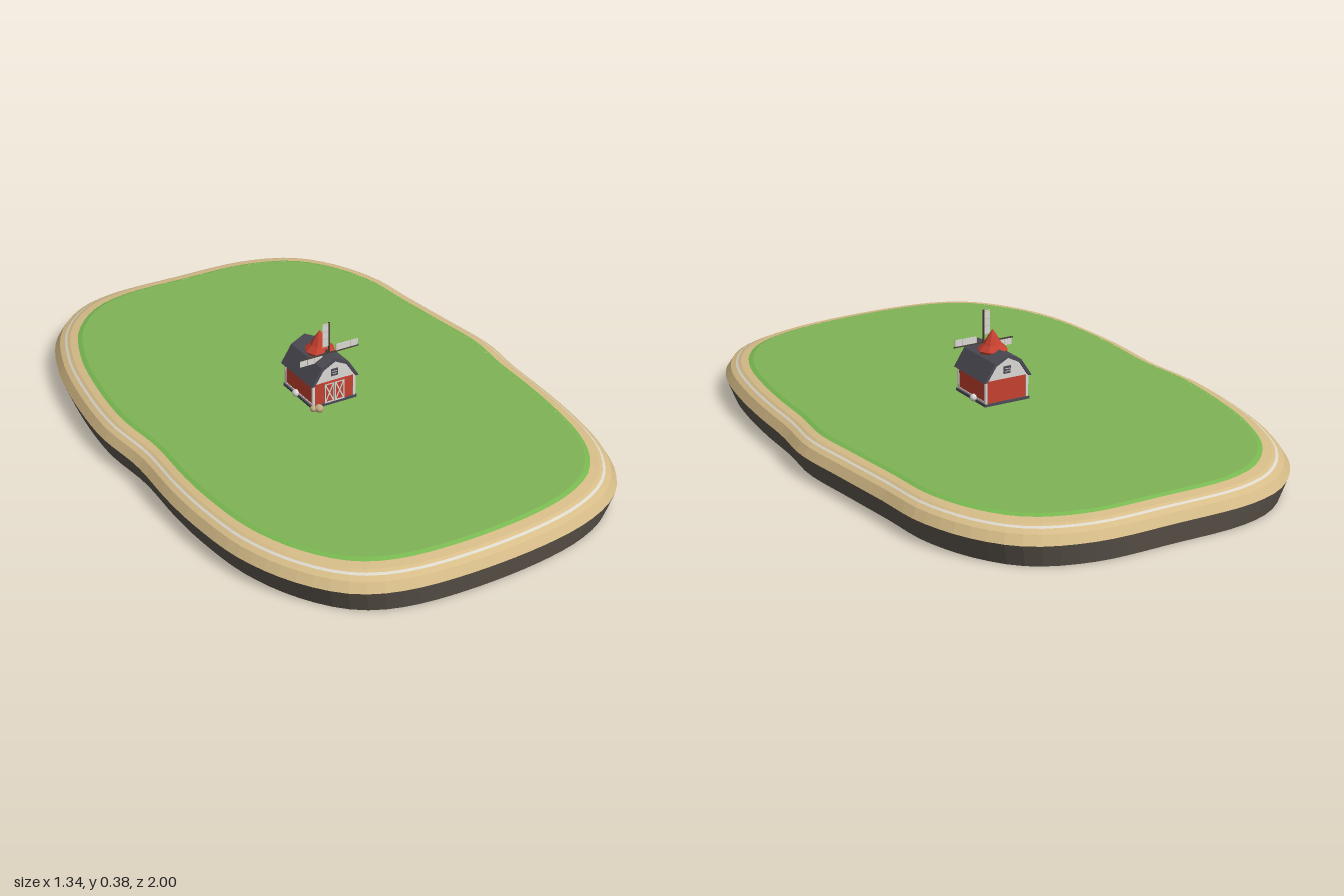
import * as THREE from 'three';

const mat = (name, color, side = THREE.FrontSide) => {
  const m = new THREE.MeshStandardMaterial({ color, side });
  m.name = name;
  return m;
};

// Coastline seen from above, as x, z pairs
const COAST = [
  [0, -1], [0.26, -0.99], [0.43, -0.925], [0.53, -0.81], [0.6, -0.635], [0.62, -0.45],
  [0.645, -0.24], [0.667, -0.03], [0.65, 0.13], [0.642, 0.32], [0.625, 0.5], [0.595, 0.66],
  [0.545, 0.78], [0.46, 0.88], [0.3, 0.955], [0, 0.995], [-0.31, 0.975], [-0.445, 0.915],
  [-0.55, 0.79], [-0.625, 0.61], [-0.655, 0.4], [-0.66, 0.24], [-0.652, 0.03], [-0.67, -0.185],
  [-0.645, -0.45], [-0.605, -0.635], [-0.525, -0.82], [-0.4, -0.945], [-0.26, -0.995],
];

export function createModel() {
  const root = new THREE.Group();
  root.name = 'islandWithBarn';
  const rock = mat('rock', 0x5f574e);
  const sand = mat('sand', 0xd6bc88);
  const grass = mat('grass', 0x7fb356);
  const grassRim = mat('grassRim', 0x78b850);
  const foam = mat('foam', 0xdcd8cc);
  const red = mat('redPaint', 0xc5402f);
  const white = mat('whitePaint', 0xd9d8d4);
  const slate = mat('slate', 0x4c4a54);
  const wood = mat('darkWood', 0x4a4038);
  const straw = mat('straw', 0xc2ab82);

  const add = (parent, name, geo, material, x = 0, y = 0, z = 0) => {
    const m = new THREE.Mesh(geo, material);
    m.name = name;
    m.position.set(x, y, z);
    parent.add(m);
    return m;
  };
  const box = (parent, name, w, h, d, material, x, y, z) =>
    add(parent, name, new THREE.BoxGeometry(w, h, d), material, x, y, z);

  // Island layers: the coastline scaled to each [x scale, z scale, height] ring
  const coast = new THREE.CatmullRomCurve3(COAST.map(([x, z]) => new THREE.Vector3(x, 0, z)), true)
    .getSpacedPoints(112).slice(0, -1);
  const layer = (rings, capTop, capBottom) => {
    const out = [];
    const n = coast.length;
    const at = ([sx, sz, y], i) => [coast[i % n].x * sx, y, coast[i % n].z * sz];
    const last = rings[rings.length - 1];
    for (let i = 0; i < n; i++) {
      for (let r = 0; r + 1 < rings.length; r++) {
        const a = at(rings[r], i), b = at(rings[r], i + 1);
        const c = at(rings[r + 1], i), d = at(rings[r + 1], i + 1);
        out.push(...a, ...c, ...b, ...b, ...c, ...d);
      }
      if (capTop) out.push(0, last[2], 0, ...at(last, i + 1), ...at(last, i));
      if (capBottom) out.push(0, rings[0][2], 0, ...at(rings[0], i), ...at(rings[0], i + 1));
    }
    const g = new THREE.BufferGeometry();
    g.setAttribute('position', new THREE.Float32BufferAttribute(out, 3));
    g.computeVertexNormals();
    return g;
  };
  add(root, 'rockBase', layer([[0.96, 0.982, 0], [1, 1, 0.068]], false, true), rock);
  add(root, 'beach', layer([[1, 1, 0.068], [0.975, 0.985, 0.095], [0.93, 0.95, 0.112], [0.9, 0.92, 0.117]]), sand);
  add(root, 'foamLine', layer([[0.953, 0.968, 0.1043], [0.943, 0.96, 0.1082]]), foam);
  add(root, 'grassEdge', layer([[0.905, 0.925, 0.115], [0.88, 0.907, 0.122]]), grassRim);
  add(root, 'meadow', layer([[0.88, 0.907, 0.1219], [0.879, 0.906, 0.122]], true), grass);

  // Barn
  const barn = new THREE.Group();
  barn.name = 'barn';
  barn.position.set(-0.004, 0.122, -0.004);
  root.add(barn);
  box(barn, 'foundation', 0.158, 0.008, 0.178, slate, 0, 0.004, 0);
  box(barn, 'walls', 0.148, 0.082, 0.168, red, 0, 0.043, 0);

  const extrude = (points, depth, holes = []) => {
    const s = new THREE.Shape(points.map(([x, y]) => new THREE.Vector2(x, y)));
    holes.forEach((h) => s.holes.push(new THREE.Path(h.map(([x, y]) => new THREE.Vector2(x, y)))));
    const g = new THREE.ExtrudeGeometry(s, { depth, bevelEnabled: false });
    g.translate(0, 0, -depth / 2);
    return g;
  };
  add(barn, 'gables', extrude([[-0.076, 0.08], [0.076, 0.08], [0.043, 0.129], [0, 0.15], [-0.043, 0.129]], 0.172), white);
  add(barn, 'roof', extrude([
    [-0.084, 0.078], [-0.073, 0.078], [-0.041, 0.126], [0, 0.147], [0.041, 0.126], [0.073, 0.078],
    [0.084, 0.078], [0.047, 0.135], [0, 0.158], [-0.047, 0.135],
  ], 0.186), slate);

  // Corner posts and wall trim
  for (const sx of [-1, 1]) {
    for (const sz of [-1, 1]) box(barn, 'cornerTrim', 0.008, 0.076, 0.008, white, sx * 0.072, 0.044, sz * 0.082);
    box(barn, 'sideTrim', 0.004, 0.005, 0.168, white, sx * 0.074, 0.012, 0);
  }

  // Double doors with crossed braces
  for (const sx of [-1, 1]) {
    const door = new THREE.Group();
    door.name = 'door';
    door.position.set(sx * 0.018, 0.042, 0.086);
    barn.add(door);
    box(door, 'doorPanel', 0.034, 0.066, 0.005, red, 0, 0, 0);
    for (const s of [-1, 1]) {
      box(door, 'doorStile', 0.004, 0.066, 0.004, white, s * 0.015, 0, 0.002);
      box(door, 'doorRail', 0.034, 0.004, 0.004, white, 0, s * 0.031, 0.002);
      box(door, 'doorBrace', 0.004, 0.064, 0.003, white, 0, 0, 0.002).rotation.z = s * 0.44;
    }
  }
  box(barn, 'doorTrack', 0.09, 0.004, 0.01, red, 0, 0.079, 0.088);

  // Gable windows
  for (const s of [-1, 1]) {
    box(barn, 'loftWindow', 0.024, 0.024, 0.004, slate, 0, 0.108, s * 0.086);
    for (const y of [0.104, 0.112]) box(barn, 'windowBar', 0.016, 0.002, 0.002, white, 0, y, s * 0.0878);
  }

  // Flared eight-sided cap on the ridge
  const cap = new THREE.LatheGeometry([[0.048, 0.149], [0.03, 0.166], [0.014, 0.193], [0, 0.213]]
    .map(([x, y]) => new THREE.Vector2(x, y)), 8).toNonIndexed();
  cap.computeVertexNormals();
  add(barn, 'millCap', cap, red);
  add(barn, 'capBase', new THREE.CylinderGeometry(0.046, 0.04, 0.012, 8), red, 0, 0.143, 0);

  // Windmill sails
  const sails = new THREE.Group();
  sails.name = 'sails';
  sails.position.set(0.003, 0.156, 0.05);
  barn.add(sails);
  add(sails, 'axle', new THREE.CylinderGeometry(0.006, 0.006, 0.05, 8), wood, 0, 0, -0.022).rotation.x = Math.PI / 2;
  for (let i = 0; i < 4; i++) {
    const sail = new THREE.Group();
    sail.name = 'sail';
    sail.rotation.z = i * Math.PI / 2;
    sails.add(sail);
    box(sail, 'sailArm', 0.004, 0.105, 0.004, wood, 0, 0.0525, 0);
    box(sail, 'sailCloth', 0.022, 0.078, 0.002, white, -0.012, 0.063, 0);
    for (let k = 0; k < 4; k++) box(sail, 'sailBatten', 0.022, 0.001, 0.003, straw, -0.012, 0.027 + k * 0.024, 0);
  }

  // Sacks and stones around the walls
  const lump = (name, r, h, material, x, z) =>
    add(barn, name, new THREE.SphereGeometry(r, 10, 8), material, x, h * r * 0.8, z).scale.set(1, h, 1.1);
  lump('grainSack', 0.014, 0.9, straw, -0.066, 0.108);
  lump('grainSack', 0.011, 0.9, straw, -0.08, 0.098);
  lump('stone', 0.013, 0.9, white, 0.077, -0.018);
  lump('stone', 0.013, 0.9, white, -0.077, -0.012);

  return root;
}
